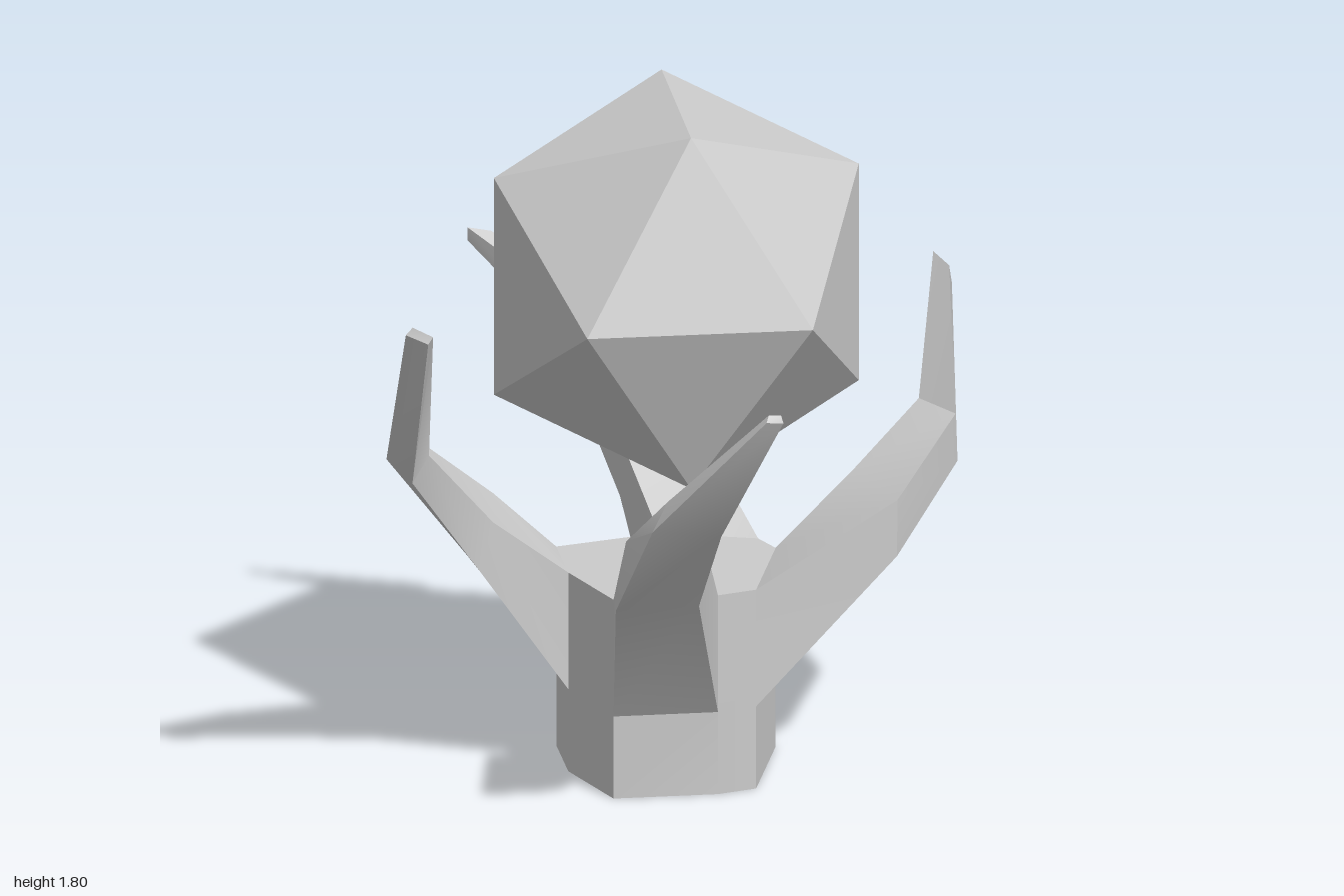
import * as THREE from 'three';
import { toCreasedNormals } from 'three/addons/utils/BufferGeometryUtils.js';
import { ConvexGeometry } from 'three/addons/geometries/ConvexGeometry.js';

const FORK = 0.225; // height where the claws leave the stem
const RIM = 0.545;  // height of the stem's top

// Stem outline (x, z); each pair of corners carries one claw
const outline = [
  [-0.257, 0.06], [-0.137, 0.25], [0.067, 0.415], [0.30, 0.268],
  [0.371, 0.183], [0.27, -0.165], [0.195, -0.22], [-0.06, -0.155],
];

// Claw cross-sections (knuckle, bend, tip): lower start, lower end, upper end, upper start
const claws = {
  frontRightClaw: [
    [[-0.42, 0.555, 0.26], [-0.30, 0.585, 0.45], [-0.28, 0.71, 0.41], [-0.37, 0.72, 0.21]],
    [[-0.50, 0.91, 0.60], [-0.385, 0.885, 0.69], [-0.36, 0.95, 0.64], [-0.45, 0.99, 0.59]],
    [[-0.28, 1.385, 0.965], [-0.20, 1.38, 1.0], [-0.195, 1.395, 0.98], [-0.265, 1.405, 0.955]],
  ],
  frontLeftClaw: [
    [[0.157, 0.58, 0.60], [0.357, 0.595, 0.515], [0.35, 0.745, 0.46], [0.155, 0.75, 0.53]],
    [[0.405, 0.92, 0.917], [0.545, 0.89, 0.79], [0.50, 0.97, 0.78], [0.41, 0.98, 0.83]],
    [[0.715, 1.25, 0.88], [0.75, 1.245, 0.85], [0.742, 1.265, 0.847], [0.715, 1.267, 0.865]],
  ],
  backLeftClaw: [
    [[0.64, 0.585, -0.115], [0.46, 0.585, -0.28], [0.44, 0.75, -0.29], [0.642, 0.74, -0.115]],
    [[0.64, 0.735, -0.50], [0.49, 0.755, -0.635], [0.475, 0.85, -0.62], [0.63, 0.86, -0.51]],
    [[0.43, 1.07, -0.93], [0.36, 1.09, -1.0], [0.345, 1.125, -1.0], [0.42, 1.115, -0.935]],
  ],
  backRightClaw: [
    [[-0.11, 0.56, -0.515], [-0.25, 0.57, -0.33], [-0.24, 0.75, -0.30], [-0.09, 0.74, -0.46]],
    [[-0.42, 0.85, -0.605], [-0.53, 0.94, -0.52], [-0.50, 1.04, -0.50], [-0.42, 1.01, -0.625]],
    [[-0.70, 1.165, -0.50], [-0.75, 1.165, -0.47], [-0.745, 1.205, -0.458], [-0.69, 1.195, -0.485]],
  ],
};

const at = (i, y) => [outline[i % 8][0], y, outline[i % 8][1]];

// Adds a convex polygon, corners counter-clockwise from outside
function addFace(out, ...corners) {
  for (let i = 1; i < corners.length - 1; i++) {
    out.push(...corners[0], ...corners[i], ...corners[i + 1]);
  }
}

function makeMesh(name, positions, crease) {
  const geometry = new THREE.BufferGeometry();
  geometry.setAttribute('position', new THREE.Float32BufferAttribute(positions, 3));
  const mesh = new THREE.Mesh(
    toCreasedNormals(geometry, crease),
    new THREE.MeshStandardMaterial({ color: 0xcccccc })
  );
  mesh.name = name;
  return mesh;
}

// Stem: low below each claw, full height between them
function createStem() {
  const faces = [];
  for (let i = 0; i < 8; i++) {
    const top = i % 2 ? RIM : FORK;
    addFace(faces, at(i, 0), at(i + 1, 0), at(i + 1, top), at(i, top));
  }
  const ring = outline.map((_, i) => i);
  addFace(faces, ...ring.map((i) => at(i, RIM)));
  addFace(faces, ...ring.reverse().map((i) => at(i, 0)));
  return makeMesh('stem', faces, 0.5);
}

// Claw: four-sided tube from the stem's side through its sections, capped at the tip
function createClaw(name, sections, corner) {
  const root = [at(corner, FORK), at(corner + 1, FORK), at(corner + 1, RIM), at(corner, RIM)];
  const rings = [root, ...sections];
  const faces = [];
  for (let k = 0; k < rings.length - 1; k++) {
    for (let j = 0; j < 4; j++) {
      const n = (j + 1) % 4;
      addFace(faces, rings[k][j], rings[k][n], rings[k + 1][n], rings[k + 1][j]);
    }
  }
  addFace(faces, ...rings[rings.length - 1]);
  return makeMesh(name, faces, 0.5);
}

// Crystal: icosahedron with its poles along z
function createCrystal() {
  const radius = 0.565;
  const ringZ = radius / Math.sqrt(5);
  const points = [new THREE.Vector3(0, 0, radius), new THREE.Vector3(0, 0, -radius)];
  for (let i = 0; i < 10; i++) {
    const a = (i * Math.PI) / 5;
    points.push(new THREE.Vector3(
      2 * ringZ * Math.cos(a), 2 * ringZ * Math.sin(a), i % 2 ? -ringZ : ringZ
    ));
  }
  const mesh = new THREE.Mesh(
    new ConvexGeometry(points),
    new THREE.MeshStandardMaterial({ color: 0xcccccc, flatShading: true })
  );
  mesh.name = 'crystal';
  mesh.position.set(0.085, 1.322, 0.056);
  return mesh;
}

export function createModel() {
  const model = new THREE.Group();
  model.name = 'clawHoldingCrystal';
  model.add(createStem(), createCrystal());
  Object.entries(claws).forEach(([name, sections], i) => {
    model.add(createClaw(name, sections, i * 2));
  });
  return model;
}
